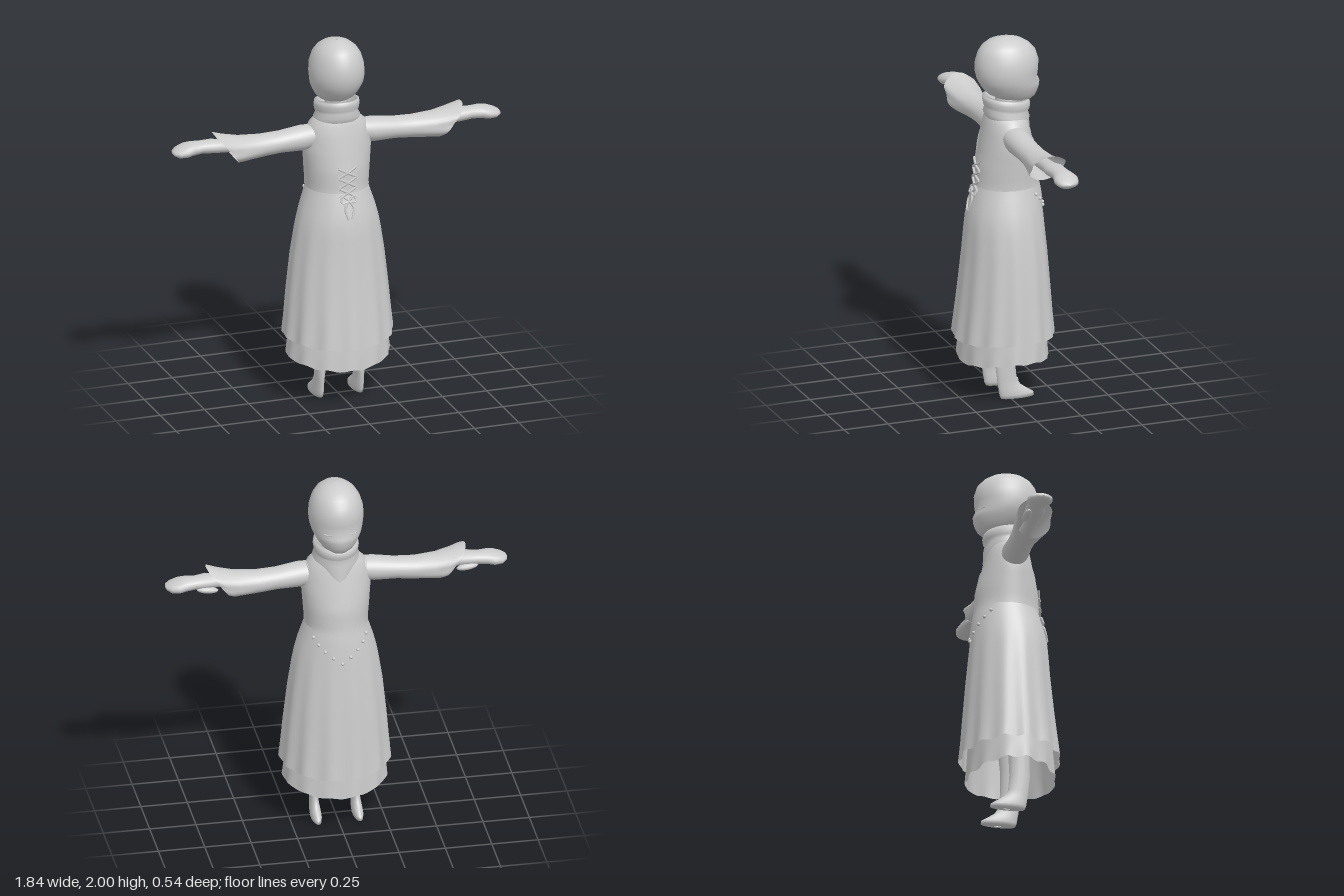
import * as THREE from 'three';

const grey = new THREE.MeshStandardMaterial({ color: 0xcccccc, side: THREE.DoubleSide });
grey.name = 'plain grey';

const TAU = Math.PI * 2;

function mesh(geometry, name, parent) {
  const m = new THREE.Mesh(geometry, grey);
  m.name = name;
  parent.add(m);
  return m;
}

// Skin closed cross-sections: point(j, a) gives ring j at angle a
function loft(rings, sides, point) {
  const pos = [], index = [];
  for (let j = 0; j < rings; j++)
    for (let i = 0; i < sides; i++) pos.push(...point(j, (i / sides) * TAU));
  for (let j = 0; j < rings - 1; j++)
    for (let i = 0; i < sides; i++) {
      const a = j * sides + i, b = j * sides + (i + 1) % sides;
      index.push(a, b, b + sides, a, b + sides, a + sides);
    }
  const g = new THREE.BufferGeometry();
  g.setAttribute('position', new THREE.Float32BufferAttribute(pos, 3));
  g.setIndex(index);
  g.computeVertexNormals();
  return g;
}

// Upright profiles, rows of [y, half width, lowest z, highest z]
const SKIRT = [
  [0.33, 0.295, -0.265, 0.265], [0.45, 0.287, -0.255, 0.252], [0.6, 0.275, -0.245, 0.235],
  [0.8, 0.254, -0.23, 0.215], [0.93, 0.234, -0.218, 0.206], [1.0, 0.221, -0.212, 0.2],
  [1.07, 0.203, -0.205, 0.187], [1.14, 0.18, -0.196, 0.167], [1.19, 0.165, -0.188, 0.152]];
const TORSO = [
  [1.19, 0.163, -0.186, 0.15], [1.3, 0.172, -0.18, 0.143], [1.4, 0.18, -0.158, 0.126],
  [1.48, 0.175, -0.14, 0.112], [1.54, 0.155, -0.125, 0.1], [1.57, 0.12, -0.115, 0.09],
  [1.6, 0.08, -0.09, 0.08]];
const UNDERSKIRT = [
  [0.205, 0.278, -0.232, 0.24], [0.33, 0.272, -0.225, 0.232], [0.6, 0.25, -0.21, 0.21]];
const HEAD = [
  [1.638, 0.005, -0.12, -0.1], [1.645, 0.05, -0.155, -0.04], [1.665, 0.085, -0.176, 0.04],
  [1.69, 0.106, -0.188, 0.085], [1.72, 0.122, -0.197, 0.112], [1.745, 0.133, -0.198, 0.128],
  [1.775, 0.142, -0.184, 0.143], [1.82, 0.147, -0.19, 0.154], [1.87, 0.143, -0.192, 0.152],
  [1.92, 0.128, -0.176, 0.138], [1.955, 0.106, -0.145, 0.115], [1.98, 0.076, -0.105, 0.082],
  [1.995, 0.038, -0.058, 0.04], [2.0, 0.002, -0.012, -0.008]];
const COLLAR = [
  [1.55, 0.122, -0.125, 0.095], [1.575, 0.125, -0.14, 0.107], [1.6, 0.112, -0.132, 0.1],
  [1.615, 0.118, -0.142, 0.105], [1.64, 0.122, -0.146, 0.111], [1.665, 0.118, -0.14, 0.11],
  [1.668, 0.1, -0.12, 0.09], [1.6, 0.08, -0.1, 0.07]];

function at(row, a, off = 0) {
  const [y, rx, lo, hi] = row;
  return [(rx + off) * Math.sin(a), y, (lo + hi) / 2 + ((hi - lo) / 2 + off) * Math.cos(a)];
}

// Point on the clothed body at any height
const BODY = [...SKIRT.slice(0, -1), ...TORSO];
function onBody(y, a, off) {
  let k = 0;
  while (k < BODY.length - 2 && BODY[k + 1][0] < y) k++;
  const t = (y - BODY[k][0]) / (BODY[k + 1][0] - BODY[k][0]);
  return at(BODY[k].map((v, i) => v + (BODY[k + 1][i] - v) * t), a, off);
}

// Skirt whose folds deepen toward a wavy hem
function pleated(table, fold, lift) {
  return loft(table.length, 96, (j, a) => {
    const w = (1 - j / (table.length - 1)) ** 2;
    const [x, y, z] = at(table[j], a);
    const s = 1 + fold * w * Math.cos(13 * a);
    const rise = j === 0 ? lift * Math.sin(a) ** 2 + 0.006 * Math.cos(13 * a) : 0;
    return [x * s, y + rise, z * s];
  });
}

function tube(points, r, name, parent) {
  const curve = new THREE.CatmullRomCurve3(points.map(p => new THREE.Vector3(...p)));
  return mesh(new THREE.TubeGeometry(curve, 16, r, 6), name, parent);
}

// Sleeve, arm, hand and leg of the model's left side
function buildLimbs() {
  const g = new THREE.Group();
  // rows of [x, y low, y high, z low, z high, slant of the opening]
  const sleeve = [
    [0.13, 1.41, 1.535, -0.075, 0.055, 0], [0.2, 1.4, 1.535, -0.085, 0.06, 0],
    [0.32, 1.4, 1.517, -0.085, 0.05, 0], [0.42, 1.392, 1.512, -0.09, 0.05, 0.01],
    [0.52, 1.385, 1.52, -0.1, 0.065, 0.03], [0.59, 1.38, 1.54, -0.11, 0.08, 0.05],
    [0.63, 1.38, 1.56, -0.105, 0.085, 0.07]];
  mesh(loft(sleeve.length, 32, (j, a) => {
    const [x, lo, hi, z0, z1, slant] = sleeve[j];
    const s = 1 + (slant > 0.02 ? slant : 0) * Math.cos(6 * a);
    return [x + slant * Math.cos(a), (lo + hi) / 2 + (hi - lo) / 2 * Math.cos(a),
      (z0 + z1) / 2 + (z1 - z0) / 2 * s * Math.sin(a)];
  }), 'sleeve', g);

  // rows of [x, y, half height, z, half depth]
  const arm = [
    [0.3, 1.46, 0.04, -0.018, 0.04], [0.55, 1.47, 0.034, -0.015, 0.036],
    [0.64, 1.475, 0.034, -0.018, 0.042], [0.7, 1.482, 0.037, -0.022, 0.055],
    [0.76, 1.481, 0.034, -0.03, 0.048], [0.81, 1.48, 0.036, -0.03, 0.058],
    [0.85, 1.474, 0.036, -0.03, 0.068], [0.89, 1.468, 0.028, -0.028, 0.058],
    [0.915, 1.468, 0.014, -0.025, 0.034], [0.922, 1.468, 0.002, -0.025, 0.004]];
  mesh(loft(arm.length, 18, (j, a) => {
    const [x, y, ry, z, rz] = arm[j];
    return [x, y + ry * Math.cos(a), z + rz * Math.sin(a)];
  }), 'armAndHand', g);
  const thumb = mesh(new THREE.SphereGeometry(1, 12, 8), 'thumb', g);
  thumb.scale.set(0.06, 0.018, 0.022);
  thumb.position.set(0.7, 1.448, -0.065);
  thumb.rotation.z = 0.12;

  // rows of [y, centre x, half width, z low, z high]
  const leg = [
    [0, 0.112, 0.004, -0.06, -0.02], [0.004, 0.112, 0.027, -0.132, 0.055],
    [0.025, 0.112, 0.029, -0.128, 0.064], [0.05, 0.112, 0.027, -0.09, 0.068],
    [0.075, 0.112, 0.024, -0.055, 0.072], [0.11, 0.112, 0.023, -0.034, 0.077],
    [0.2, 0.108, 0.031, -0.026, 0.086], [0.32, 0.1, 0.04, -0.03, 0.085],
    [0.6, 0.09, 0.06, -0.06, 0.08]];
  mesh(loft(leg.length, 18, (j, a) => {
    const [y, x, rx, lo, hi] = leg[j];
    return [x + rx * Math.sin(a), y, (lo + hi) / 2 + (hi - lo) / 2 * Math.cos(a)];
  }), 'legAndFoot', g);

  // Closed eye
  const eye = [-0.34, -0.42, -0.5, -0.58, -0.66].map((d, k) => {
    const p = at([1.768, 0.141, -0.186, 0.14], Math.PI + d);
    p[1] -= 0.004 * Math.sin(k / 4 * Math.PI);
    return p;
  });
  tube(eye, 0.004, 'eyelid', g);
  return g;
}

export function createModel() {
  const model = new THREE.Group();
  model.name = 'figureInLongDress';

  mesh(loft(HEAD.length, 40, (j, a) => at(HEAD[j], a)), 'head', model);
  mesh(new THREE.CylinderGeometry(0.06, 0.07, 0.14, 20), 'neck', model).position.set(0, 1.61, -0.02);

  // Folded collar, tipped toward the face, with a pointed flap
  mesh(loft(COLLAR.length, 48, (j, a) => {
    const [x, y, z] = at(COLLAR[j], a);
    const c = Math.max(0, 1 - Math.abs(a - Math.PI) / 0.9);
    return [x, y + z * 0.12 - (j === 0 ? 0.07 * c : 0), z - (j === 0 ? 0.022 * c : 0)];
  }), 'collar', model);

  mesh(loft(TORSO.length, 48, (j, a) => at(TORSO[j], a)), 'torso', model);
  mesh(pleated(SKIRT, 0.028, 0.025), 'overskirt', model);
  mesh(pleated(UNDERSKIRT, 0.022, 0.035), 'underskirt', model);

  // Fitted bodice: scooped neckline and pointed waist
  mesh(loft(13, 64, (j, a) => {
    const face = Math.max(0, 1 - Math.abs(a - Math.PI));
    const low = 1.185 - 0.15 * face;
    const high = 1.385 - 0.025 * Math.cos(a) + 0.15 * Math.sin(a) ** 2;
    return onBody(low + (high - low) * j / 12, a, 0.006);
  }), 'bodice', model);

  // Studs following the pointed waist
  for (let k = -4; k <= 4; k++) {
    const stud = mesh(new THREE.SphereGeometry(0.01, 8, 6), 'waistStud', model);
    stud.position.set(...onBody(1.01 + 0.033 * Math.abs(k), Math.PI + k * 0.22, 0.004));
  }

  // Crossed lacing with a hanging bow
  const lace = (x, y) => onBody(y, Math.asin(x / 0.175), 0.013);
  for (const s of [-1, 1]) {
    for (let k = 0; k < 3; k++) {
      const y = 1.325 - k * 0.055;
      tube([lace(-0.045 * s, y), lace(0, y - 0.025), lace(0.045 * s, y - 0.05)], 0.007, 'lacing', model);
    }
    tube([lace(0, 1.15), lace(0.032 * s, 1.172), lace(0.035 * s, 1.14), lace(0, 1.145)], 0.006, 'bowLoop', model);
    tube([lace(0, 1.15), lace(0.02 * s, 1.11), lace(0.008 * s, 1.05)], 0.006, 'bowTail', model);
  }

  const left = buildLimbs();
  left.name = 'leftLimbs';
  const right = buildLimbs();
  right.name = 'rightLimbs';
  right.scale.x = -1;
  model.add(left, right);
  return model;
}
